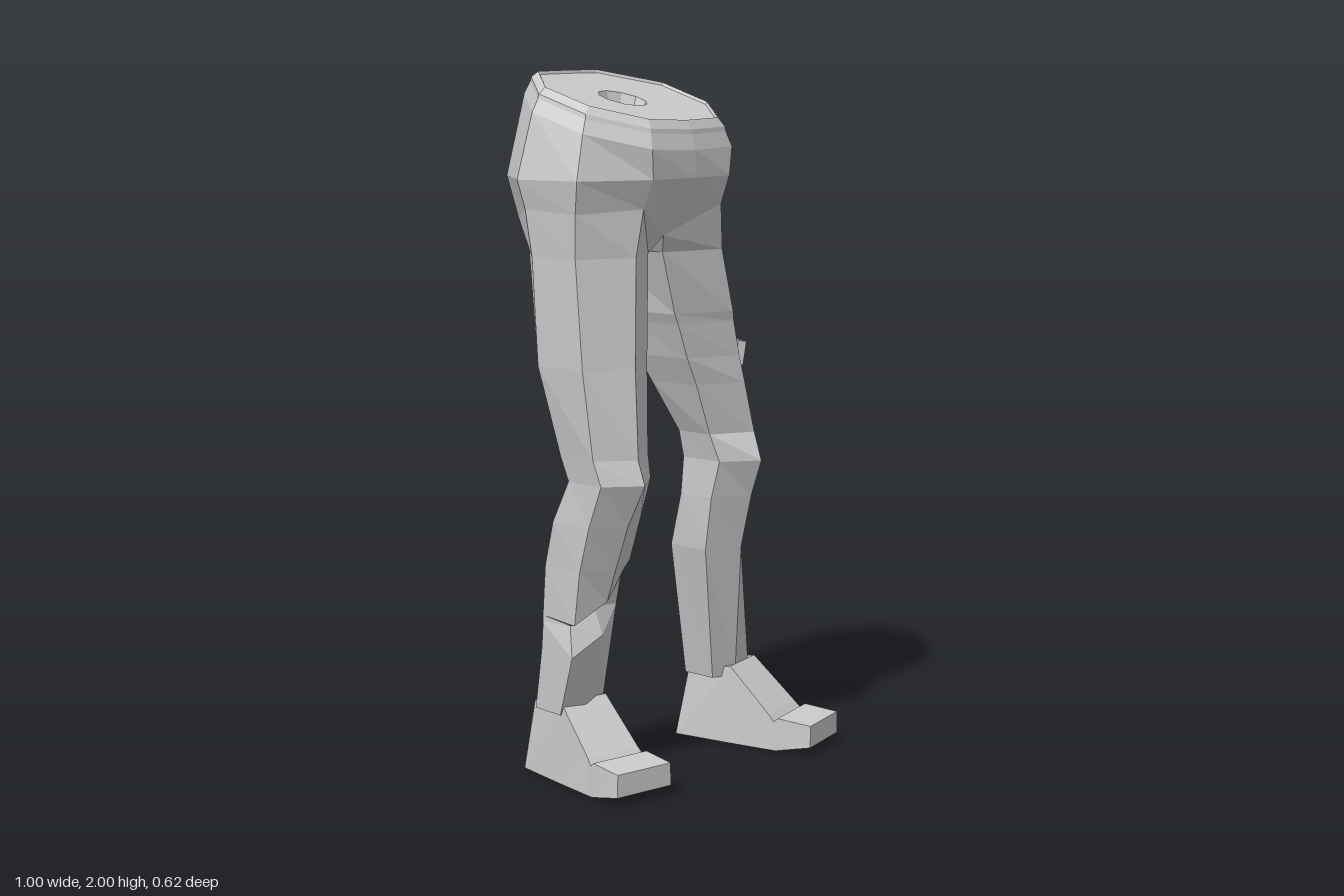
import * as THREE from 'three';

const material = new THREE.MeshStandardMaterial({ color: 0xcccccc, flatShading: true, side: THREE.DoubleSide });

// Skins a list of equal-length point rings; each ring runs counter-clockwise seen from the first ring's end
function loft(name, rings, capStart, capEnd) {
  const pos = [];
  const tri = (a, b, c) => pos.push(...a, ...b, ...c);
  const n = rings[0].length;
  for (let i = 0; i < rings.length - 1; i++) {
    for (let j = 0; j < n; j++) {
      const k = (j + 1) % n;
      const a = rings[i][j], b = rings[i][k], c = rings[i + 1][k], d = rings[i + 1][j];
      tri(a, d, c);
      tri(a, c, b);
    }
  }
  const cap = (ring, flip) => {
    const mid = [0, 1, 2].map((q) => ring.reduce((s, p) => s + p[q], 0) / n);
    ring.forEach((p, j) => {
      const next = ring[(j + 1) % n];
      if (flip) tri(mid, next, p); else tri(mid, p, next);
    });
  };
  if (capStart) cap(rings[0], false);
  if (capEnd) cap(rings[rings.length - 1], true);
  const g = new THREE.BufferGeometry();
  g.setAttribute('position', new THREE.Float32BufferAttribute(pos, 3));
  g.computeVertexNormals();
  const mesh = new THREE.Mesh(g, material);
  mesh.name = name;
  return mesh;
}

// Sloping waist plane
const waistY = (x, z) => 1.928 - 0.33 * z - 0.04 * (x + 0.13);

// Waist outline: front centre, left side, back centre, right side
const waist = [[-0.11, 0.184], [0.06, 0.154], [0.174, 0.02], [0.166, -0.14], [-0.015, -0.23],
  [-0.16, -0.21], [-0.30, -0.186], [-0.415, -0.05], [-0.40, 0.093], [-0.266, 0.186]];
const hips = [[-0.11, 0.22], [0.06, 0.2], [0.215, 0.03], [0.19, -0.2], [-0.01, -0.31],
  [-0.17, -0.3], [-0.34, -0.275], [-0.5, -0.08], [-0.48, 0.12], [-0.28, 0.215]];
const hem = [[-0.14, 1.55, 0.13], [0.06, 1.63, 0.17], [0.215, 1.63, 0.02], [0.2, 1.62, -0.19], [0, 1.58, -0.27],
  [-0.14, 1.53, -0.2], [-0.33, 1.59, -0.24], [-0.48, 1.63, -0.07], [-0.465, 1.62, 0.1], [-0.28, 1.63, 0.18]];

function pelvis() {
  const hole = (drop, s) => waist.map((_, j) => {
    const a = (j / 10) * Math.PI * 2;
    const x = -0.14 + 0.08 * s * Math.sin(a), z = -0.02 + 0.06 * s * Math.cos(a);
    return [x, waistY(x, z) - drop, z];
  });
  const outline = (drop, s) => waist.map(([px, pz]) => {
    const x = -0.12 + (px + 0.12) * s, z = -0.02 + (pz + 0.02) * s;
    return [x, waistY(x, z) - drop, z];
  });
  return loft('pelvis', [
    hole(0.06, 0.75), hole(0.012, 1),
    outline(0.008, 0.99), outline(0, 1.01), outline(0.02, 1.09), outline(0.032, 1.1), outline(0.07, 1.17),
    hips.map(([x, z]) => [x, 1.71, z]), hem,
  ], true, false);
}

// Leg rows: height, sideways tilt, then x, z pairs around the leg
const leftRows = [
  // front, outer, outer back, back, inner back, inner front
  [1.5, 0, 0.09, 0.15, 0.245, 0.01, 0.235, -0.18, 0.08, -0.21, -0.085, -0.16, -0.11, 0.1],
  [1.32, 0, 0.14, 0.15, 0.30, 0, 0.28, -0.135, 0.13, -0.175, -0.05, -0.11, -0.045, 0.09],
  [1.29, 0, 0.15, 0.145, 0.225, 0, 0.265, -0.125, 0.14, -0.17, -0.035, -0.1, -0.03, 0.09],
  [1.19, 0, 0.175, 0.145, 0.24, 0, 0.265, -0.11, 0.165, -0.15, 0, -0.09, 0.01, 0.09],
  [1.11, 0, 0.195, 0.15, 0.325, 0, 0.315, -0.09, 0.185, -0.13, 0.04, -0.07, 0.05, 0.09],
  [0.96, 0, 0.24, 0.15, 0.34, 0.03, 0.325, -0.05, 0.24, -0.08, 0.115, -0.03, 0.11, 0.09],
  [0.88, 0, 0.23, 0.185, 0.33, 0.05, 0.32, -0.05, 0.24, -0.075, 0.135, -0.03, 0.13, 0.11],
  [0.77, 0, 0.24, 0.14, 0.35, 0.02, 0.335, -0.08, 0.24, -0.11, 0.135, -0.04, 0.13, 0.08],
  [0.61, 0, 0.25, 0.095, 0.36, 0, 0.355, -0.1, 0.26, -0.15, 0.15, -0.09, 0.14, 0.05],
  [0.2, 0, 0.31, 0.025, 0.405, 0, 0.385, -0.11, 0.32, -0.14, 0.24, -0.11, 0.235, 0],
];
const rightRows = [
  // front, inner front, inner back, back, outer, outer front
  [1.5, 0, -0.3, 0.17, -0.17, 0.1, -0.17, -0.15, -0.32, -0.21, -0.465, -0.06, -0.455, 0.09],
  [1.2, 0, -0.315, 0.18, -0.175, 0.1, -0.18, -0.1, -0.32, -0.15, -0.445, -0.06, -0.44, 0.1],
  [0.95, 0, -0.315, 0.19, -0.195, 0.12, -0.2, -0.04, -0.31, -0.07, -0.4, -0.02, -0.41, 0.11],
  [0.88, 0, -0.31, 0.21, -0.195, 0.13, -0.2, -0.04, -0.3, -0.07, -0.39, 0, -0.4, 0.13],
  [0.76, 0, -0.3, 0.14, -0.18, 0.08, -0.18, -0.08, -0.3, -0.125, -0.39, -0.06, -0.395, 0.08],
  [0.63, 0, -0.29, 0.085, -0.17, 0.03, -0.17, -0.12, -0.28, -0.16, -0.38, -0.1, -0.39, 0.04],
  [0.53, 0.6, -0.288, 0.05, -0.174, 0.01, -0.174, -0.13, -0.27, -0.17, -0.37, -0.12, -0.385, 0.015],
  [0.51, 0.6, -0.288, 0, -0.176, 0, -0.176, -0.135, -0.27, -0.17, -0.37, -0.12, -0.365, -0.02],
  [0.43, 0.6, -0.287, 0.03, -0.178, -0.015, -0.178, -0.14, -0.265, -0.18, -0.365, -0.13, -0.38, 0],
  [0.2, 0, -0.285, -0.04, -0.19, -0.06, -0.19, -0.17, -0.25, -0.2, -0.35, -0.17, -0.365, -0.06],
];

function leg(name, top, rows) {
  const rings = rows.map(([y, tilt, ...p]) => top.map((_, j) => {
    const x = p[j * 2];
    return [x, y + tilt * (x + 0.29), p[j * 2 + 1]];
  }));
  return loft(name, [top, ...rings], false, true);
}

// Foot sections from heel to toe: low z, high z, low y, high y, half widths low and high
const footSections = [
  [0, 0.04, 0, 0.21, 0.07, 0.06],
  [0.18, 0.19, 0, 0.235, 0.085, 0.08],
  [0.33, 0.325, 0, 0.105, 0.094, 0.09],
  [0.35, 0.34, 0, 0.088, 0.095, 0.094],
  [0.36, 0.355, 0.003, 0.1, 0.096, 0.096],
  [0.462, 0.462, 0.025, 0.09, 0.096, 0.094],
];
function foot(name, x, z, turn) {
  const mesh = loft(name, footSections.map(([z0, z1, y0, y1, w0, w1]) =>
    [[-w0, y0, z0], [-w1, y1, z1], [w1, y1, z1], [w0, y0, z0]]), true, true);
  mesh.position.set(x, 0, z);
  mesh.rotation.y = turn;
  return mesh;
}

// Torn strip hanging in the thigh opening
function tornStrip(name, x, y, z, size, turn, lean) {
  const mesh = new THREE.Mesh(new THREE.BoxGeometry(...size), material);
  mesh.name = name;
  mesh.position.set(x, y, z);
  mesh.rotation.set(0, turn, lean);
  return mesh;
}

export function createModel() {
  const group = new THREE.Group();
  group.name = 'legs';
  const pick = (...ids) => ids.map((i) => hem[i]);
  group.add(
    pelvis(),
    leg('leftLeg', pick(1, 2, 3, 4, 5, 0), leftRows),
    leg('rightLeg', pick(9, 0, 5, 6, 7, 8), rightRows),
    foot('leftFoot', 0.308, -0.163, 0.215),
    foot('rightFoot', -0.25, -0.235, -0.165),
    tornStrip('thighFlapFront', 0.235, 1.19, 0.08, [0.025, 0.07, 0.09], -0.5, -0.15),
    tornStrip('thighFlapBack', 0.27, 1.15, -0.05, [0.05, 0.06, 0.09], 0.2, -0.2),
  );
  return group;
}
